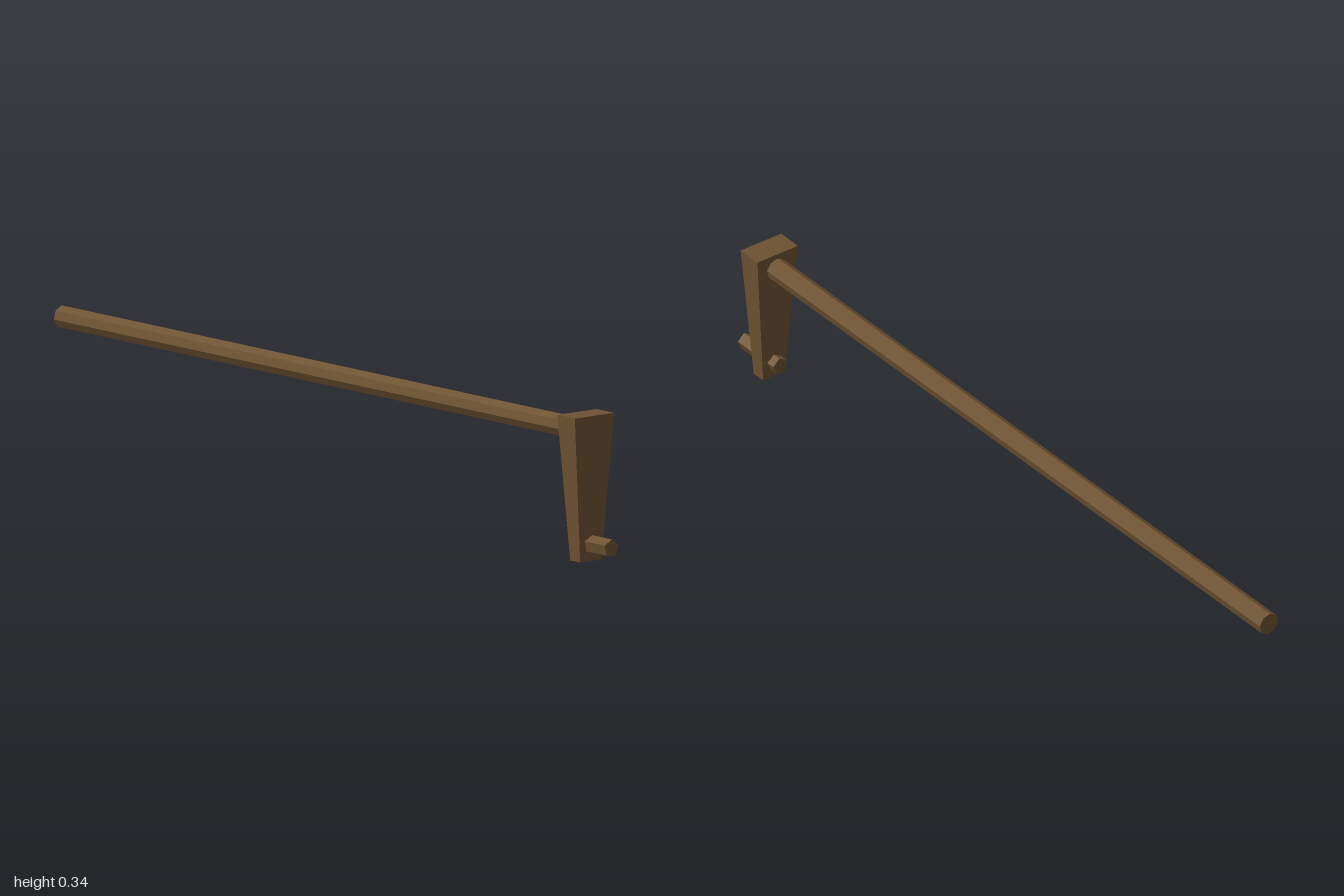
import * as THREE from 'three';

const wood = new THREE.MeshStandardMaterial({ color: 0x6e5232, flatShading: true });
wood.name = 'brown wood';

// Faceted rod along x between x0 and x1, turned about its axis by "turn" degrees
function rod(name, x0, x1, y, z, radius, sides, turn) {
  const g = new THREE.CylinderGeometry(radius, radius, x1 - x0, sides, 1, false, THREE.MathUtils.degToRad(turn));
  g.rotateZ(-Math.PI / 2);
  g.translate((x0 + x1) / 2, y, z);
  const mesh = new THREE.Mesh(g, wood);
  mesh.name = name;
  return mesh;
}

// Box that narrows towards its foot
function taperedArm() {
  const g = new THREE.BoxGeometry(1, 0.342, 1);
  const p = g.attributes.position;
  for (let i = 0; i < p.count; i++) {
    const top = p.getY(i) > 0;
    p.setX(i, p.getX(i) * (top ? 0.064 : 0.036));
    p.setZ(i, p.getZ(i) * (top ? 0.117 : 0.063));
  }
  g.translate(0.907, 0.171, 0);
  g.computeVertexNormals();
  const mesh = new THREE.Mesh(g, wood);
  mesh.name = 'crankArm';
  return mesh;
}

export function createModel() {
  const model = new THREE.Group();
  model.name = 'crank';
  model.add(
    rod('shaft', -1, 0.89, 0.303, -0.003, 0.027, 8, 8),
    taperedArm(),
    rod('handlePeg', 0.865, 1, 0.04, 0, 0.021, 5, -168)
  );
  return model;
}
